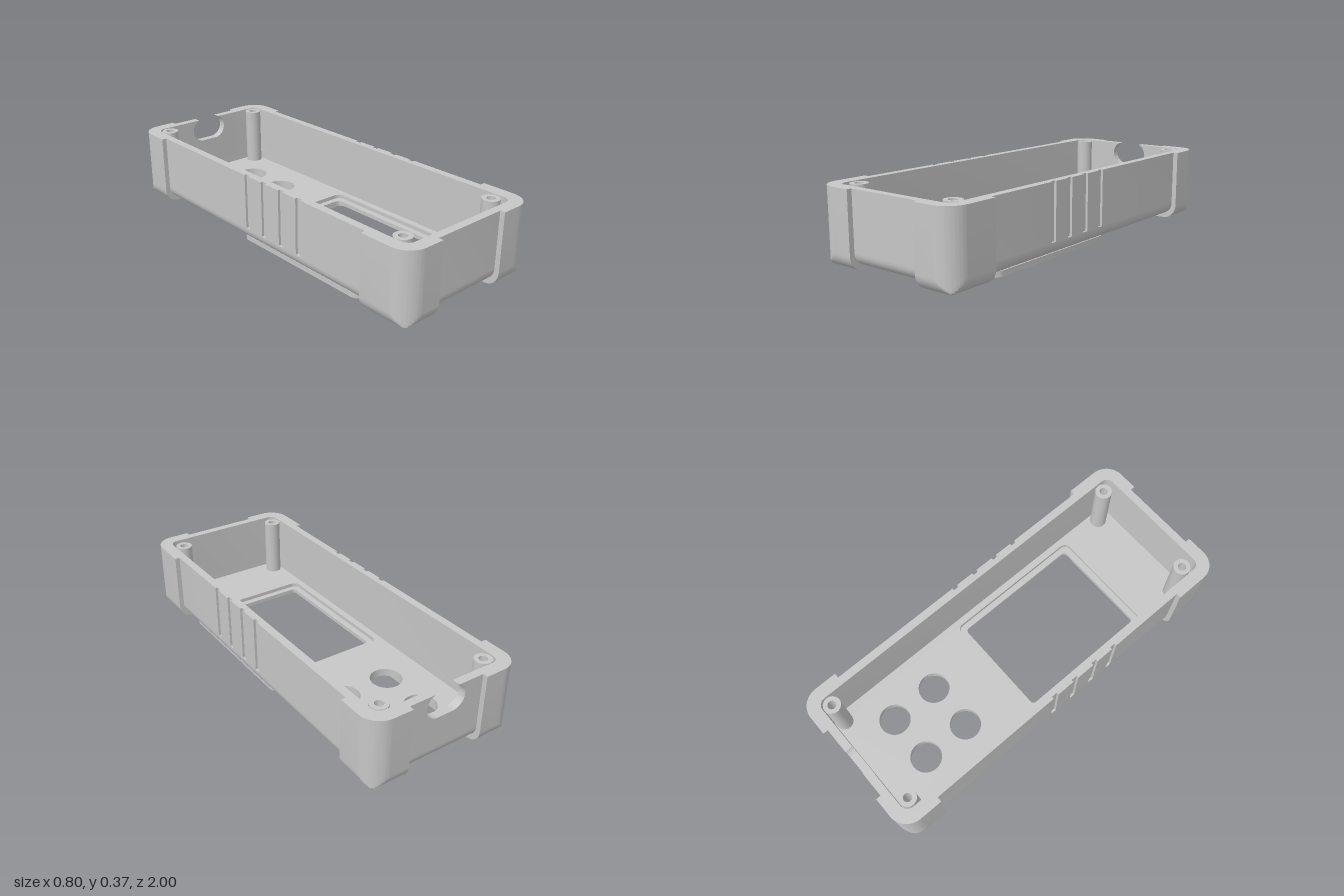
import * as THREE from 'three';
import { toCreasedNormals } from 'three/addons/utils/BufferGeometryUtils.js';

const TOP = 0.37, SPLIT = 0.09, HX = 0.375, HZ = 0.975, WALL = 0.04, R = 0.08;

// Arc of [x, z] points around a corner centre
function arc(cx, cz, r, a0, a1, n = 10) {
  return Array.from({ length: n + 1 }, (_, i) => {
    const a = a0 + (a1 - a0) * i / n;
    return [cx + r * Math.cos(a), cz + r * Math.sin(a)];
  });
}

// Rounded rectangle as [x, z] points, running from +x towards +z
function roundRect(hx, hz, r, cz = 0) {
  const q = Math.PI / 2, pts = [];
  [[1, 1], [-1, 1], [-1, -1], [1, -1]].forEach(([sx, sz], i) =>
    pts.push(...arc(sx * (hx - r), cz + sz * (hz - r), r, i * q, (i + 1) * q)));
  return pts;
}

// Plan shape ([x, z] points) extruded upwards from y0 to y1; holes wind against the outline
function slab(outline, holes, y0, y1) {
  const vec = (pts) => pts.map(([x, z]) => new THREE.Vector2(x, -z));
  const shape = new THREE.Shape(vec(outline));
  holes.forEach((h) => shape.holes.push(new THREE.Path(vec(h).reverse())));
  const g = new THREE.ExtrudeGeometry(shape, { depth: y1 - y0, bevelEnabled: false });
  return g.rotateX(-Math.PI / 2).translate(0, y0, 0);
}

// Closed [inset, y] profile swept along a path that depends on the inset
function sweep(profile, pathAt, closed) {
  const pos = [], idx = [], m = profile.length;
  const paths = profile.map(([d]) => pathAt(d)), n = paths[0].length;
  for (let i = 0; i < n; i++) {
    for (let j = 0; j < m; j++) pos.push(paths[j][i][0], profile[j][1], paths[j][i][1]);
  }
  for (let i = 0; i < (closed ? n : n - 1); i++) {
    for (let j = 0; j < m; j++) {
      const k = (i + 1) % n, l = (j + 1) % m;
      const a = i * m + j, b = k * m + j, c = k * m + l, d = i * m + l;
      idx.push(a, b, d, b, c, d);
    }
  }
  if (!closed) {
    const e = (n - 1) * m;
    const contour = profile.map(([d, y]) => new THREE.Vector2(d, y));
    THREE.ShapeUtils.triangulateShape(contour, []).forEach(([a, b, c]) =>
      idx.push(a, b, c, e + a, e + c, e + b));
  }
  const g = new THREE.BufferGeometry();
  g.setAttribute('position', new THREE.Float32BufferAttribute(pos, 3));
  g.setIndex(idx);
  return g;
}

// Bottom fillet of radius r as [inset, y] points, from the side to the underside
function fillet(r, y0, n = 10) {
  return Array.from({ length: n + 1 }, (_, i) => {
    const a = (Math.PI / 2) * i / n;
    return [r - r * Math.cos(a), y0 + r - r * Math.sin(a)];
  });
}

export function createModel() {
  const model = new THREE.Group();
  model.name = 'enclosureShell';
  const grey = new THREE.MeshStandardMaterial({ color: 0xc6c6c6 });
  grey.name = 'grey plastic';
  const add = (name, geometry, parent = model) => {
    const mesh = new THREE.Mesh(toCreasedNormals(geometry, 0.5), grey);
    mesh.name = name;
    parent.add(mesh);
  };

  // Filleted lower edge of the tray
  add('trayEdge', sweep(
    [[0, SPLIT], ...fillet(0.06, 0.025), [0.06, 0.045], [WALL, 0.045], [WALL, SPLIT]],
    (d) => roundRect(HX - d, HZ - d, R - d), true));

  // Floor in two layers, so the window keeps a stepped lip
  const buttons = [];
  for (const x of [-0.126, 0.126]) {
    for (const z of [-0.692, -0.438]) buttons.push(arc(x, z, 0.079, 0, Math.PI * 2, 40).slice(0, -1));
  }
  const windowAt = (grow, r) => roundRect(0.268 + grow, 0.353 + grow, r, 0.246);
  const floorAt = (d) => roundRect(HX - d, HZ - d, R - d);
  add('floorLower', slab(floorAt(0.06), [windowAt(0, 0.02), ...buttons], 0.025, 0.045));
  add('floorUpper', slab(floorAt(WALL), [windowAt(0.032, 0.035), ...buttons], 0.045, 0.065));

  // Raised frames on the underside
  add('windowFrame', slab(roundRect(0.34, 0.417, 0.05, 0.253),
    [roundRect(0.305, 0.382, 0.03, 0.253)], 0, 0.027));
  add('buttonFrame', slab(roundRect(0.232, 0.275, 0.05, -0.547),
    [roundRect(0.209, 0.252, 0.035, -0.547)], 0.006, 0.027));

  // Upright walls with grip grooves, open at the back for the cable panel
  const half = Math.PI / 2, gap = 0.12;
  const outer = [[gap, -HZ], ...arc(HX - R, -HZ + R, R, -half, 0)];
  for (const z of [-0.066, 0.06, 0.187, 0.31]) {
    outer.push([HX, z - 0.015], [HX - 0.012, z - 0.015], [HX - 0.012, z + 0.015], [HX, z + 0.015]);
  }
  outer.push(...arc(HX - R, HZ - R, R, 0, half));
  const inner = [[gap, -HZ + WALL], ...arc(HX - R, -HZ + R, R - WALL, -half, 0),
    ...arc(HX - R, HZ - R, R - WALL, 0, half)];
  const mirror = (pts) => pts.map(([x, z]) => [-x, z]).reverse();
  add('walls', slab([...outer, ...mirror(outer), ...mirror(inner).reverse(), ...inner.reverse()],
    [], SPLIT, TOP));

  // Back panel with a wide rounded cable notch that narrows at the rim
  const panel = new THREE.Shape(), lip = Math.asin(0.06 / 0.065);
  panel.moveTo(-gap, SPLIT).lineTo(gap, SPLIT).lineTo(gap, TOP);
  panel.absarc(0.04, 0.31, 0.065, lip, -half, true);
  panel.absarc(-0.04, 0.31, 0.065, -half, Math.PI - lip, true);
  panel.lineTo(-gap, TOP);
  add('cablePanel', new THREE.ExtrudeGeometry(panel,
    { depth: WALL, bevelEnabled: false, curveSegments: 24 }).translate(0, 0, -HZ));

  // Corner guards wrapping the sides and underside; the bottom fillets meet in a mitre
  const guardProfile = [[0, TOP], ...fillet(0.075, 0), [0.075, 0.032], [0.06, 0.04], [0.06, TOP]];
  for (const sx of [1, -1]) {
    for (const sz of [1, -1]) {
      const zEnd = sz > 0 ? 0.735 : 0.785;
      const pathAt = (d) => {
        const pts = [[0.4, zEnd], ...arc(0.3, 0.9, 0.1, 0, half, 24), [0.2, 1]]
          .map(([x, z]) => [sx * Math.min(x, 0.4 - d), sz * Math.min(z, 1 - d)]);
        return sx * sz < 0 ? pts.reverse() : pts;
      };
      const guard = new THREE.Group();
      guard.name = (sz > 0 ? 'front' : 'back') + (sx > 0 ? 'Left' : 'Right') + 'Guard';
      add('guardSide', sweep(guardProfile, pathAt, false), guard);
      const foot = [[0.325, zEnd], [0.325, 0.925], [0.2, 0.925], [0.2, zEnd]];
      add('guardFoot', slab(foot.map(([x, z]) => [sx * x, sz * z]), [], 0, 0.027), guard);
      model.add(guard);
    }
  }

  // Screw posts
  for (const x of [-0.286, 0.286]) {
    for (const z of [-0.888, 0.862]) {
      const ring = (r) => arc(x, z, r, 0, Math.PI * 2, 28).slice(0, -1);
      add('screwPost', slab(ring(0.043), [ring(0.021)], 0.06, 0.368));
    }
  }
  return model;
}
